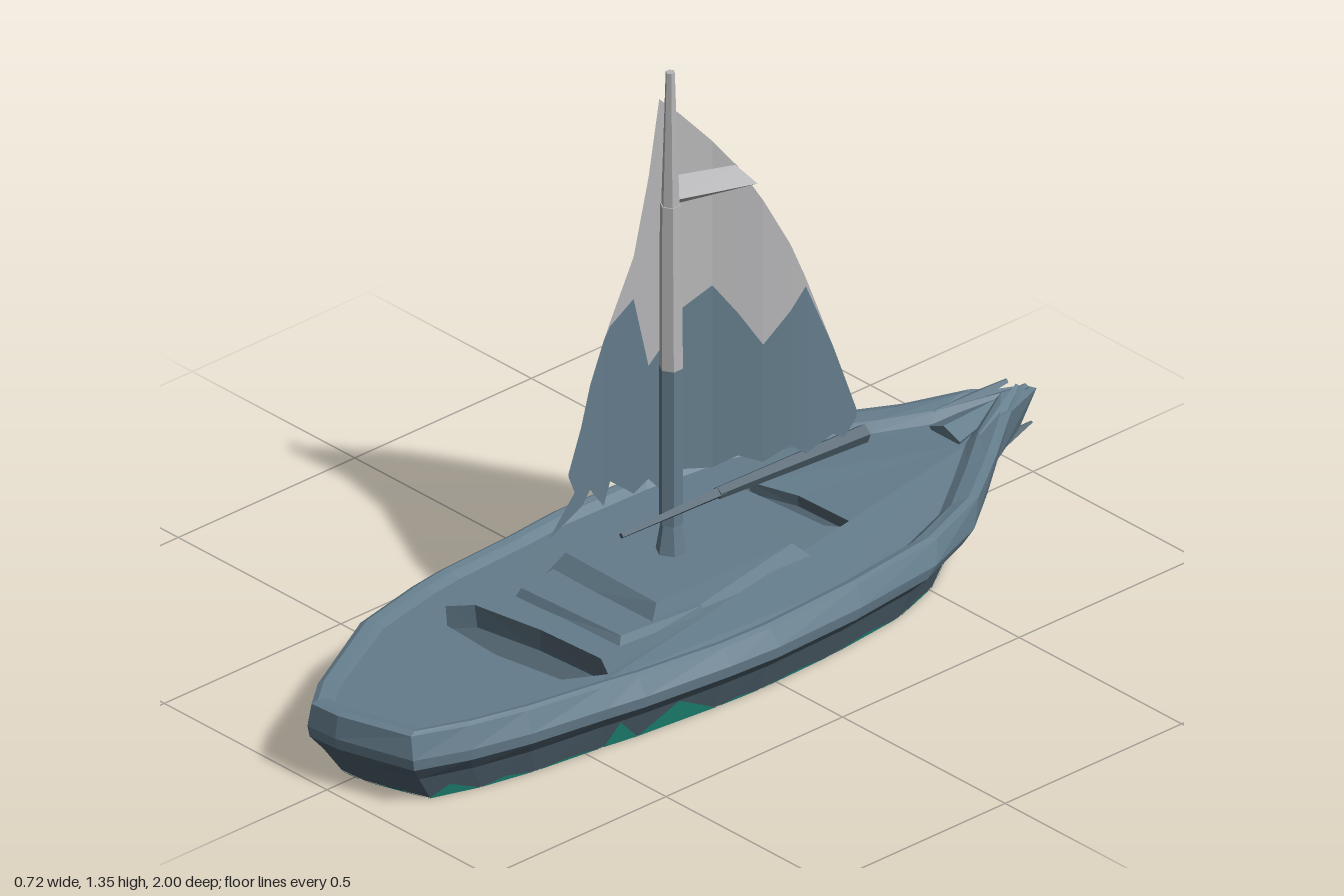
import * as THREE from 'three';

const BLUE = 0x647c8b, DARK = 0x4e616d, PALE = 0xb6b6b8, GREEN = 0x229583;

function material(color) {
  return new THREE.MeshStandardMaterial({ color, flatShading: true, side: THREE.DoubleSide });
}

// Mesh from a flat list of triangle corners
function facets(name, corners, color) {
  const g = new THREE.BufferGeometry();
  g.setAttribute('position', new THREE.Float32BufferAttribute(corners.flat(), 3));
  g.computeVertexNormals();
  const m = new THREE.Mesh(g, material(color));
  m.name = name;
  return m;
}
const quad = (a, b, c, d) => [a, b, c, a, c, d];

// Piecewise linear lookup in [key, value] pairs
function lookup(table, k) {
  if (k <= table[0][0]) return table[0][1];
  for (let i = 1; i < table.length; i++) {
    const [k0, v0] = table[i - 1], [k1, v1] = table[i];
    if (k <= k1) return v0 + (v1 - v0) * (k - k0) / (k1 - k0);
  }
  return table[table.length - 1][1];
}

// Tapered spar between two points
function spar(name, from, to, r0, r1, sides, color, flat = 1) {
  const a = new THREE.Vector3(...from), b = new THREE.Vector3(...to);
  const g = new THREE.CylinderGeometry(r1, r0, a.distanceTo(b), sides);
  g.scale(1, 1, flat);
  const m = new THREE.Mesh(g, material(color));
  m.position.copy(a).add(b).multiplyScalar(0.5);
  m.quaternion.setFromUnitVectors(new THREE.Vector3(0, 1, 0), b.clone().sub(a).normalize());
  m.name = name;
  return m;
}

// Plan of the hull at its widest: bow, +x side, stern, -x side
const PLAN = [
  [0.02, 0.995], [0.2, 0.94], [0.247, 0.82], [0.282, 0.68], [0.312, 0.49], [0.328, 0.4], [0.352, 0.18], [0.36, 0.05],
  [0.352, -0.2], [0.325, -0.45], [0.265, -0.62], [0.172, -0.75], [0.08, -0.87], [0.012, -1],
  [-0.06, -0.87], [-0.145, -0.75], [-0.25, -0.62], [-0.315, -0.45], [-0.35, -0.2], [-0.362, 0.05],
  [-0.352, 0.18], [-0.333, 0.4], [-0.317, 0.49], [-0.268, 0.68], [-0.185, 0.82], [-0.12, 0.93], [-0.06, 1],
];
const SHEER = [[-1, 0.21], [-0.93, 0.24], [-0.75, 0.207], [-0.5, 0.18], [0.2, 0.167], [1, 0.188]];
const sheer = z => lookup(SHEER, z);
const deckY = z => sheer(z) - 0.02;

// Hull ring: width factor, bow and stern length factors, height rule
function ring(width, bow, stern, height) {
  return PLAN.map(([x, z]) => {
    const cx = Math.max(0, z - 0.5) * 0.09;
    const zz = z * (z > 0 ? bow : stern);
    return [cx + (x - cx) * width, height(zz), zz];
  });
}

function loft(rings) {
  const out = [];
  for (let k = 0; k + 1 < rings.length; k++)
    for (let i = 0; i < PLAN.length; i++) {
      const j = (i + 1) % PLAN.length;
      out.push(...quad(rings[k][i], rings[k][j], rings[k + 1][j], rings[k + 1][i]));
    }
  return out;
}

function buildHull() {
  const hull = new THREE.Group();
  hull.name = 'hull';
  const keel = ring(0.82, 0.92, 0.83, () => 0);
  const bilge = ring(0.89, 0.965, 0.86, () => 0.065);
  const chine = ring(0.99, 0.995, 0.9, () => 0.102);
  const strake = ring(1, 1, 0.95, () => 0.128);
  const railOut = ring(0.93, 0.995, 1, z => sheer(z) - 0.006);
  const railTop = ring(0.9, 0.98, 0.965, sheer);
  const railIn = ring(0.86, 0.955, 0.9, z => sheer(z) - 0.004);
  const deckEdge = ring(0.82, 0.94, 0.86, deckY);
  hull.add(facets('lowerHull', loft([keel, bilge, chine]), DARK));
  hull.add(facets('upperHull', loft([chine, strake, railOut]), BLUE));
  hull.add(facets('rail', loft([railOut, railTop, railIn, deckEdge]), BLUE));

  // Painted bottom with ragged teeth climbing the sides
  const bottom = [], teeth = [];
  const heights = [0.1, 0.5, 0.2, 0.1, 0.95, 1, 0.1, 0.1, 0.15, 0.15, 0.4, 0.6, 1];
  keel.forEach((p, i) => {
    const j = (i + 1) % keel.length;
    bottom.push([0, 0, 0], keel[j], p);
    const h = heights[i < 13 ? i : Math.max(0, 25 - i)];
    const tip = p.map((v, a) => {
      const low = (v + keel[j][a]) / 2, high = (bilge[i][a] + bilge[j][a]) / 2;
      return (low + (high - low) * h) * (a === 1 ? 1 : 1.006);
    });
    const out = q => [q[0] * 1.006, q[1], q[2] * 1.004];
    teeth.push(out(p), out(keel[j]), tip);
  });
  hull.add(facets('bottom', bottom, GREEN), facets('bottomTeeth', teeth, GREEN));

  // Deck with two sunken wells
  const wells = [
    { name: 'frontWell', depth: 0.05, pts: [[-0.205, 0.475], [-0.17, 0.425], [0, 0.395], [0.175, 0.385], [0.235, 0.42], [0.19, 0.51], [0.02, 0.54], [-0.14, 0.53]] },
    { name: 'rearSlot', depth: 0.025, pts: [[-0.165, -0.345], [-0.05, -0.38], [0.1, -0.385], [0.12, -0.365], [0.08, -0.335], [-0.165, -0.318]] },
  ];
  const flat = pts => pts.map(([x, z]) => new THREE.Vector2(x, -z));
  const shape = new THREE.Shape(flat(deckEdge.map(p => [p[0], p[2]])));
  for (const w of wells) {
    shape.holes.push(new THREE.Path(flat(w.pts)));
    const floor = ([x, z]) => [x * 0.95, deckY(z) - w.depth, z];
    const edge = ([x, z]) => [x, deckY(z), z];
    const tris = [];
    w.pts.forEach((p, i) => {
      const q = w.pts[(i + 1) % w.pts.length];
      tris.push(...quad(edge(p), edge(q), floor(q), floor(p)));
      if (i > 0) tris.push(floor(w.pts[0]), floor(q), floor(p));
    });
    hull.add(facets(w.name, tris, DARK));
  }
  const g = new THREE.ShapeGeometry(shape).rotateX(-Math.PI / 2);
  const pos = g.attributes.position;
  for (let i = 0; i < pos.count; i++) pos.setY(i, deckY(pos.getZ(i)));
  g.computeVertexNormals();
  const deck = new THREE.Mesh(g, material(BLUE));
  deck.name = 'deck';
  hull.add(deck);

  // Carved stern pieces
  hull.add(spar('sternBlock', [0.012, 0.185, -0.74], [0.012, 0.222, -0.97], 0.05, 0.008, 5, BLUE, 0.6));
  hull.add(spar('sternSpike', [0.01, 0.105, -0.84], [0.012, 0.13, -0.985], 0.035, 0.004, 4, DARK, 0.6));
  for (const s of [-1, 1])
    hull.add(spar('sternHorn', [0.012 + s * 0.075, 0.19, -0.78], [0.012 + s * 0.015, 0.243, -0.93], 0.022, 0.006, 4, BLUE));
  return hull;
}

// Frustum block from two four-cornered outlines
function block(name, low, y0, high, y1) {
  const a = low.map(([x, z]) => [x, y0, z]), b = high.map(([x, z]) => [x, y1, z]);
  const tris = quad(...b);
  a.forEach((p, i) => tris.push(...quad(p, a[(i + 1) % 4], b[(i + 1) % 4], b[i])));
  return facets(name, tris, BLUE);
}

function buildCabin() {
  const cabin = new THREE.Group();
  cabin.name = 'cabin';
  cabin.add(block('cabinStep',
    [[-0.145, 0.34], [0.17, 0.33], [0.185, 0.1], [-0.18, 0.1]], 0.14,
    [[-0.135, 0.325], [0.155, 0.31], [0.175, 0.1], [-0.165, 0.1]], 0.17));
  cabin.add(block('cabinRoof',
    [[-0.17, 0.245], [0.165, 0.24], [0.19, -0.24], [-0.205, -0.18]], 0.14,
    [[-0.14, 0.195], [0.145, 0.2], [0.15, -0.18], [-0.165, -0.14]], 0.203));
  return cabin;
}

function buildSail() {
  const sail = new THREE.Group();
  sail.name = 'sail';
  // Columns from bow to stern: z, ragged foot, colour line, top edge
  const columns = [
    [0.26, 0.44, 0.45, 0.45], [0.22, 0.35, 0.54, 0.54], [0.19, 0.38, 0.63, 0.63], [0.15, 0.325, 0.72, 0.72],
    [0.135, 0.38, 0.75, 0.76], [0.08, 0.335, 0.8, 0.9], [0.045, 0.36, 0.63, 1.08], [0.02, 0.33, 0.66, 1.26],
    [-0.03, 0.36, 0.74, 1.21], [-0.11, 0.34, 0.775, 1.12], [-0.16, 0.36, 0.7, 1.05], [-0.21, 0.335, 0.615, 0.96],
    [-0.27, 0.36, 0.68, 0.84], [-0.305, 0.33, 0.73, 0.75], [-0.38, 0.35, 0.56, 0.56], [-0.41, 0.33, 0.48, 0.48],
    [-0.445, 0.365, 0.385, 0.385],
  ];
  const belly = [[-0.45, 0.06], [-0.3, 0.056], [-0.2, 0.025], [-0.1, -0.025], [0.02, -0.042], [0.16, -0.074], [0.33, -0.05]];
  const at = (z, y) => [lookup(belly, z), y, z];
  const lower = [], upper = [];
  for (let i = 0; i + 1 < columns.length; i++) {
    const [z0, f0, m0, t0] = columns[i], [z1, f1, m1, t1] = columns[i + 1];
    lower.push(...quad(at(z0, f0), at(z1, f1), at(z1, m1), at(z0, m0)));
    upper.push(...quad(at(z0, m0), at(z1, m1), at(z1, t1), at(z0, t0)));
  }
  // Torn corner of the foot
  lower.push(at(0.325, 0.32), at(0.21, 0.355), at(0.235, 0.4));
  sail.add(facets('lowerSail', lower, BLUE), facets('upperSail', upper, PALE));

  // Fold of cloth standing out from the sail near its head
  const root = [0.018, 1.045, 0.02], tip = [0.06, 1.03, -0.165];
  sail.add(facets('sailFold', [
    ...quad(root, tip, at(-0.155, 1.055), at(0.01, 1.07)),
    ...quad(at(0.01, 1.0), at(-0.165, 1.0), tip, root),
    tip, at(-0.165, 1.0), at(-0.155, 1.055),
  ], PALE));
  return sail;
}

function buildRig() {
  const rig = new THREE.Group();
  rig.name = 'rig';
  rig.add(spar('mastFoot', [0, 0.19, 0.025], [0, 0.285, 0.025], 0.036, 0.02, 6, BLUE));
  rig.add(spar('lowerMast', [0, 0.27, 0.025], [0, 0.64, 0.025], 0.026, 0.026, 6, BLUE));
  rig.add(spar('middleMast', [0, 0.64, 0.025], [0, 1.03, 0.027], 0.026, 0.023, 6, PALE));
  rig.add(spar('topMast', [0, 1.03, 0.027], [0.006, 1.35, 0.033], 0.02, 0.01, 6, PALE));
  rig.add(spar('boom', [0.02, 0.305, 0.185], [0.028, 0.31, -0.1], 0.007, 0.014, 4, DARK));
  rig.add(spar('boomEnd', [0.028, 0.31, -0.08], [0.052, 0.314, -0.475], 0.014, 0.021, 5, DARK));
  return rig;
}

export function createModel() {
  const boat = new THREE.Group();
  boat.name = 'sailboat';
  boat.add(buildHull(), buildCabin(), buildRig(), buildSail());
  return boat;
}
